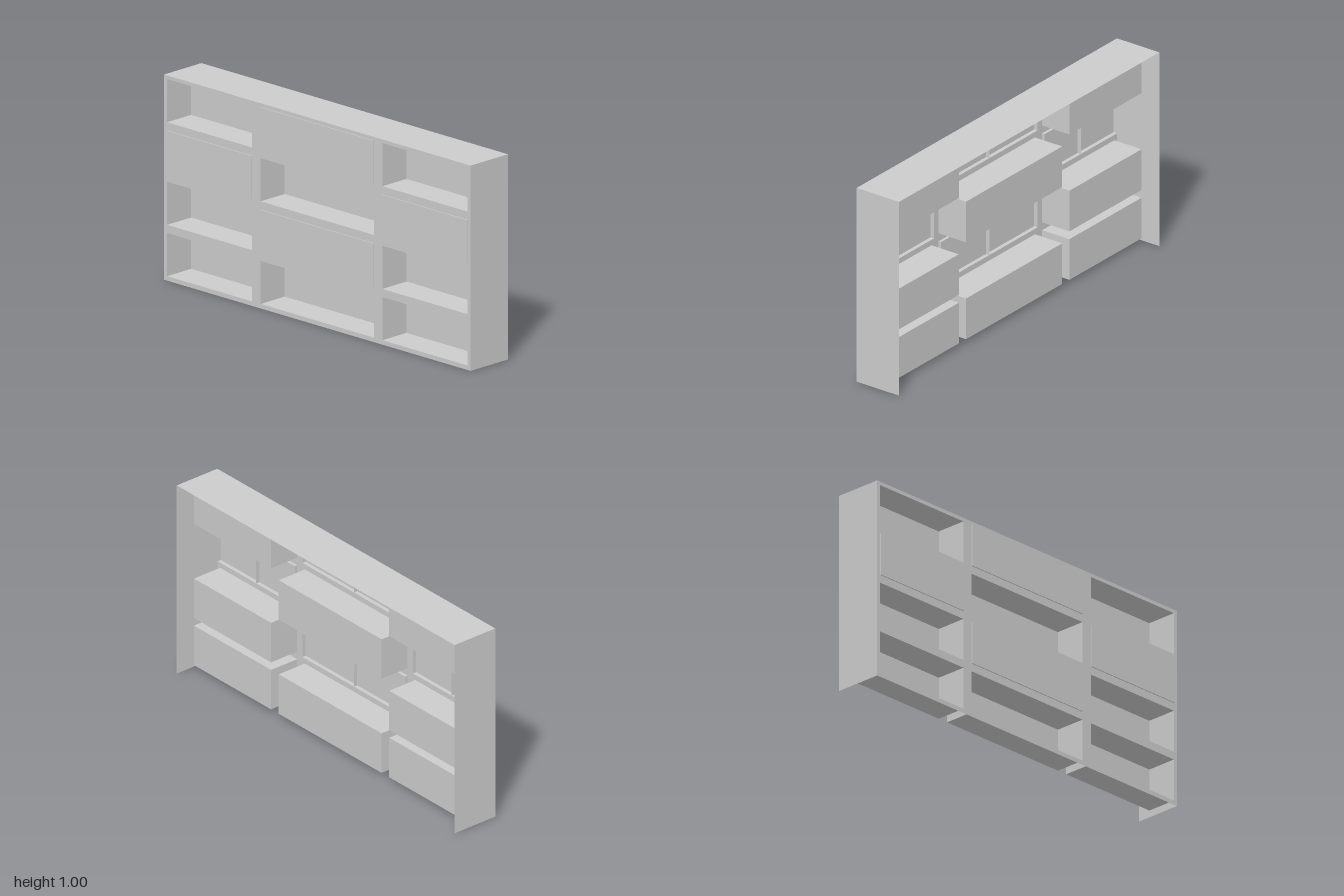
import * as THREE from 'three';

const material = new THREE.MeshStandardMaterial({ color: 0xcccccc, side: THREE.DoubleSide, flatShading: true });

// Face planes along x: door fronts, frame, door rims, compartment backs, rear edge
const DOOR = -0.126, FRAME = -0.121, RIM = -0.106, BACK = 0.038, REAR = 0.126;

// Box faces in geometry order
const FACES = ['+x', '-x', '+y', '-y', '+z', '-z'];

// Thin-walled box between two corners, with the listed faces left out
function openBox(name, [x0, y0, z0], [x1, y1, z1], missing) {
  const geo = new THREE.BoxGeometry(x1 - x0, y1 - y0, z1 - z0);
  geo.translate((x0 + x1) / 2, (y0 + y1) / 2, (z0 + z1) / 2);
  const index = Array.from(geo.index.array);
  geo.setIndex(index.filter((_, i) => !missing.includes(FACES[Math.floor(i / 6)])));
  geo.clearGroups();
  const mesh = new THREE.Mesh(geo, material);
  mesh.name = name;
  return mesh;
}

function rectanglePath(z0, y0, z1, y1, PathType) {
  const path = new PathType();
  path.moveTo(z0, y0);
  path.lineTo(z1, y0);
  path.lineTo(z1, y1);
  path.lineTo(z0, y1);
  path.closePath();
  return path;
}

export function createModel() {
  const group = new THREE.Group();
  group.name = 'wallShelf';

  // Outer casing: top and two ends, open underneath and at the rear
  group.add(openBox('casing', [FRAME, 0, -1], [REAR, 1, 1], ['+x', '-x', '-y']));

  const columns = [[-0.98, -0.425], [-0.37, 0.37], [0.425, 0.98]];
  const rows = [[0.022, 0.232], [0.272, 0.482], [0.522, 0.732], [0.772, 0.982]];
  const frame = rectanglePath(-1, 0, 1, 1, THREE.Shape);

  rows.forEach(([y0, y1], r) => {
    columns.forEach(([z0, z1], c) => {
      frame.holes.push(rectanglePath(z0, y0, z1, y1, THREE.Path));
      // Doors alternate with open compartments; the bottom row is all open
      const hasDoors = r > 0 && (r % 2 === 1 ? c === 1 : c !== 1);
      if (hasDoors) {
        const mid = (z0 + z1) / 2;
        group.add(openBox('door', [DOOR, y0, z0], [RIM, y1, mid], ['+x']));
        group.add(openBox('door', [DOOR, y0, mid], [RIM, y1, z1], ['+x']));
      } else {
        group.add(openBox('compartment', [FRAME, y0, z0], [BACK, y1, z1], ['-x']));
      }
    });
  });

  // Face frame with an opening for every cell
  const face = new THREE.Mesh(new THREE.ShapeGeometry(frame), material);
  face.geometry.rotateY(-Math.PI / 2);
  face.geometry.translate(FRAME, 0, 0);
  face.name = 'faceFrame';
  group.add(face);

  return group;
}
